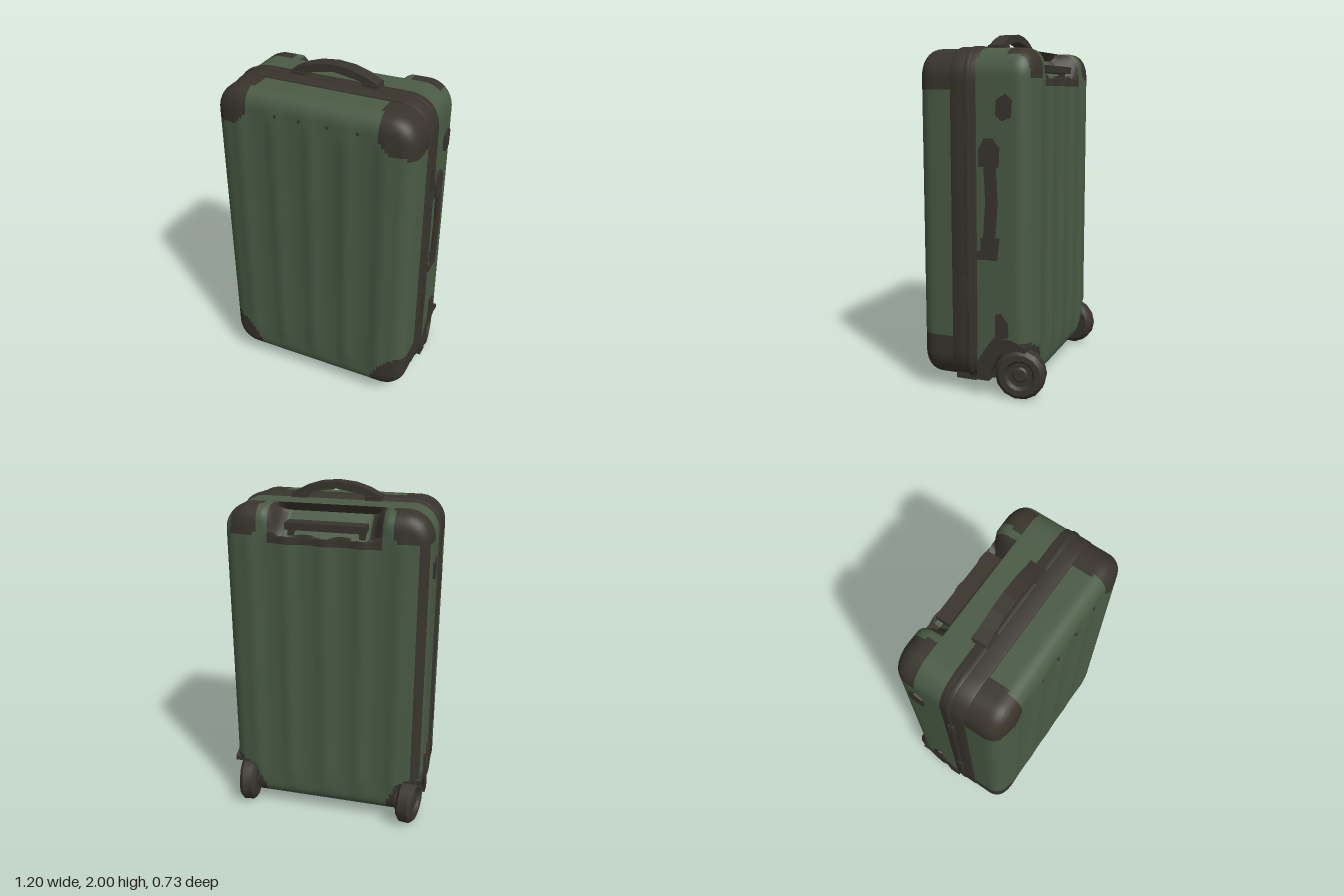
import * as THREE from 'three';
import { mergeVertices, toCreasedNormals } from 'three/addons/utils/BufferGeometryUtils.js';

const green = new THREE.MeshStandardMaterial({ color: 0x4a5b45 });
green.name = 'shellGreen';
const dark = new THREE.MeshStandardMaterial({ color: 0x39342d });
dark.name = 'trimBrown';

const { clamp, smoothstep } = THREE.MathUtils;

function add(group, name, geometry, material = dark) {
  const mesh = new THREE.Mesh(geometry, material);
  mesh.name = name;
  group.add(mesh);
  return mesh;
}

function box(group, name, w, h, d, x, y, z) {
  return add(group, name, new THREE.BoxGeometry(w, h, d).translate(x, y, z));
}

function polygon(points) {
  return new THREE.Shape(points.map(([x, y]) => new THREE.Vector2(x, y)));
}

// Side profile in (-z, y), extruded along x from x0 to x1
function sidePlate(points, x0, x1) {
  const geo = new THREE.ExtrudeGeometry(polygon(points), { depth: x1 - x0, bevelEnabled: false });
  return geo.rotateY(Math.PI / 2).translate(x0, 0, 0);
}

function roundedRect(hx, y0, y1, r, target = new THREE.Shape()) {
  target.moveTo(-hx + r, y0).lineTo(hx - r, y0).quadraticCurveTo(hx, y0, hx, y0 + r);
  target.lineTo(hx, y1 - r).quadraticCurveTo(hx, y1, hx - r, y1);
  target.lineTo(-hx + r, y1).quadraticCurveTo(-hx, y1, -hx, y1 - r);
  target.lineTo(-hx, y0 + r).quadraticCurveTo(-hx, y0, -hx + r, y0);
  return target;
}

// Distance beyond the slanted plane of the grip recess
const recessDepth = (y, z) => (y - 1.76) + (-0.16 - z) - 0.14;

// Corner guards, recess rim and edge strip are dark, the rest green
function isDark(x, y, z) {
  const ax = Math.abs(x);
  const dx = Math.max(0, 0.585 - ax);
  const top = (dx / 0.215) ** 3 + (Math.max(0, 1.9 - y) / 0.21) ** 3 < 1;
  const bottom = (dx / 0.21) ** 2 + (Math.max(0, y - 0.07) / 0.26) ** 2 < 1;
  if (z > 0.13) return top || bottom;
  if (z > -0.02) return false;
  const d = recessDepth(y, z);
  if (ax < 0.32 && d > -0.05 && z < -0.15) return !(ax < 0.23 && d > 0.01);
  if (z < -0.15 && top && x < 0.53 && y > 1.74) return true;
  if (x < -0.51 && z < -0.25) return true;
  return bottom && Math.hypot(z + 0.23, y - 0.14) < 0.19;
}

function shellGeometry() {
  const hx = 0.58, hy = 0.915, hz = 0.3225, R = 0.15, r = 0.09;
  let geo = new THREE.BoxGeometry(2 * hx, 2 * hy, 2 * hz, 58, 92, 32);
  geo.deleteAttribute('uv');
  geo.deleteAttribute('normal');
  geo = mergeVertices(geo);
  const pos = geo.attributes.position, rest = [];
  for (let i = 0; i < pos.count; i++) {
    let x = pos.getX(i), y = pos.getY(i), z = pos.getZ(i);
    // Round the outline corners by R and the front and back edges by r
    const cx = clamp(x, R - hx, hx - R), cy = clamp(y, R - hy, hy - R);
    const dx = x - cx, dy = y - cy;
    const reach = Math.max(Math.abs(dx), Math.abs(dy));
    const a = Math.max(0, reach - R + r) / r;
    const b = Math.max(0, Math.abs(z) - hz + r) / r;
    const fit = Math.max(a, b) / Math.hypot(a, b);
    const offset = a > 0 ? R - r + a * fit * r : reach;
    const length = Math.hypot(dx, dy) || 1;
    const nz = Math.sign(z) * b * fit;
    x = cx + dx / length * offset;
    y = cy + dy / length * offset + 0.985;
    if (b > 0) z = Math.sign(z) * (hz - r) + nz * r;
    z += 0.0225;
    // Vertical ribs on front and back
    const rib = 0.014 * Math.pow(0.5 + 0.5 * Math.cos(x * Math.PI * 2 / 0.21), 2);
    z += nz * rib * smoothstep(y, 0.1, 0.3) * (1 - smoothstep(y, 1.7, 1.87));
    rest.push([x, y, z]);
    // Grip recess in the upper back edge
    const d = recessDepth(y, z);
    if (d > 0 && z < -0.1) {
      const k = (1 - smoothstep(Math.abs(x), 0.24, 0.34)) * (d * 0.5 + Math.min(d * 2, 0.04));
      y -= k;
      z += k;
    }
    // Wheel wells
    if (Math.abs(x) > 0.43 && Math.hypot(z + 0.23, y - 0.14) < 0.165) x = Math.sign(x) * 0.43;
    pos.setXYZ(i, x, y, z);
  }
  // Sort the quads by colour
  const parts = [[], []], index = geo.index.array;
  for (let i = 0; i < index.length; i += 6) {
    const quad = Array.from(index.slice(i, i + 6));
    const c = [0, 1, 2].map(k => quad.reduce((sum, v) => sum + rest[v][k], 0) / 6);
    parts[isDark(...c) ? 1 : 0].push(...quad);
  }
  geo.setIndex(parts[0].concat(parts[1]));
  const out = toCreasedNormals(geo, 0.6);
  out.clearGroups();
  out.addGroup(0, parts[0].length, 0);
  out.addGroup(parts[0].length, parts[1].length, 1);
  return out;
}

function frameBand(hx, y0, y1, z0, z1, bevel) {
  const shape = roundedRect(hx, y0, y1, 0.19);
  shape.holes.push(roundedRect(hx - 0.05, y0 + 0.05, y1 - 0.05, 0.15, new THREE.Path()));
  const geo = new THREE.ExtrudeGeometry(shape, {
    depth: z1 - z0 - 2 * bevel, bevelThickness: bevel, bevelSize: bevel,
    bevelOffset: -bevel, bevelSegments: 2, curveSegments: 10,
  });
  return toCreasedNormals(geo.translate(0, 0, z0 + bevel), 0.6);
}

// Wheel with its outer face towards the given side, toed in at the back
function wheelGeometry(side) {
  const profile = [[0, -0.05], [0.115, -0.05], [0.14, -0.03], [0.14, 0.03], [0.118, 0.05],
    [0.085, 0.05], [0.07, 0.03], [0.045, 0.03], [0.035, 0.04], [0, 0.04]];
  const geo = new THREE.LatheGeometry(profile.map(p => new THREE.Vector2(...p)), 14);
  return toCreasedNormals(geo.rotateZ(-side * Math.PI / 2).rotateY(side * 0.15), 0.5);
}

export function createModel() {
  const model = new THREE.Group();
  model.name = 'suitcase';

  add(model, 'shell', shellGeometry(), [green, dark]);
  add(model, 'frameBand', frameBand(0.586, 0.06, 1.91, -0.005, 0.148, 0.012));
  add(model, 'seamRidge', frameBand(0.591, 0.056, 1.915, 0.03, 0.065, 0.008));

  // Top carry handle
  const arch = [[-0.26, 1.9], [-0.25, 1.93], [-0.18, 1.965], [-0.1, 1.99], [0, 2], [0.1, 1.99],
    [0.18, 1.965], [0.25, 1.93], [0.26, 1.9], [0.2, 1.91], [0.15, 1.935], [0, 1.96],
    [-0.15, 1.935], [-0.2, 1.91]];
  const topHandle = new THREE.ExtrudeGeometry(polygon(arch), { depth: 0.08, bevelEnabled: false });
  add(model, 'topHandle', topHandle.translate(0, 0, -0.025));
  for (const s of [-1, 1]) box(model, 'topHandleMount', 0.09, 0.025, 0.095, s * 0.21, 1.915, 0.015);

  // Pull grip lying low in the back recess
  box(model, 'pullGrip', 0.45, 0.04, 0.085, 0, 1.795, -0.238);
  for (const s of [-1, 1]) box(model, 'pullGripPost', 0.035, 0.06, 0.04, s * 0.2, 1.755, -0.225);

  // Carry handle on the left side
  const sideHandle = new THREE.Group();
  sideHandle.name = 'sideHandle';
  model.add(sideHandle);
  add(sideHandle, 'upperMount', sidePlate([[0.02, 1.28], [0.13, 1.28], [0.135, 1.38], [0.1, 1.43],
    [0.05, 1.43], [0.02, 1.37]], 0.56, 0.593));
  add(sideHandle, 'lowerMount', sidePlate([[0, 0.78], [0.12, 0.78], [0.135, 0.9], [0.03, 0.9],
    [0.03, 0.83], [0, 0.82]], 0.56, 0.593));
  add(sideHandle, 'grip', sidePlate([[0.045, 0.88], [0.11, 0.88], [0.125, 1.1], [0.115, 1.3],
    [0.05, 1.3], [0.06, 1.1]], 0.578, 0.598));

  const bracket = [[0, 0.1], [0, 0.2], [0.04, 0.27], [0.1, 0.35], [0.2, 0.345], [0.28, 0.31],
    [0.28, 0.282], [0.23, 0.29], [0.122, 0.25], [0.075, 0.14], [0.07, 0.1]];
  const upperTab = [[0.115, 1.55], [0.15, 1.52], [0.2, 1.54], [0.205, 1.63], [0.17, 1.66], [0.12, 1.63]];
  const lowerTab = [[0.11, 0.34], [0.185, 0.36], [0.18, 0.44], [0.14, 0.49], [0.11, 0.48]];

  for (const s of [-1, 1]) {
    const plate = (name, pts, a, b) =>
      add(model, name, sidePlate(pts, Math.min(s * a, s * b), Math.max(s * a, s * b)));
    // Wheels with brackets
    add(model, 'wheel', wheelGeometry(s)).position.set(s * 0.508, 0.14, -0.23);
    add(model, 'axle', new THREE.CylinderGeometry(0.04, 0.04, 0.07, 10).rotateZ(Math.PI / 2))
      .position.set(s * 0.44, 0.14, -0.23);
    plate('wheelBracket', bracket, 0.43, 0.584);
    // Side tabs, latches and front feet
    plate('upperTab', upperTab, 0.56, 0.59);
    plate('lowerTab', lowerTab, 0.56, 0.59);
    for (const [y, h] of [[0.61, 0.12], [1.45, 0.14]])
      box(model, 'latch', 0.025, h, 0.035, s * 0.585, y, 0.055);
    box(model, 'foot', 0.08, 0.08, 0.12, s * 0.5, 0.115, 0.085);
  }

  // Rivets along the upper front
  for (const x of [-0.2, -0.06, 0.1, 0.27]) {
    const rivet = new THREE.CylinderGeometry(0.009, 0.009, 0.009, 8).rotateX(Math.PI / 2);
    add(model, 'rivet', rivet).position.set(x, 1.79, 0.35);
  }
  return model;
}
